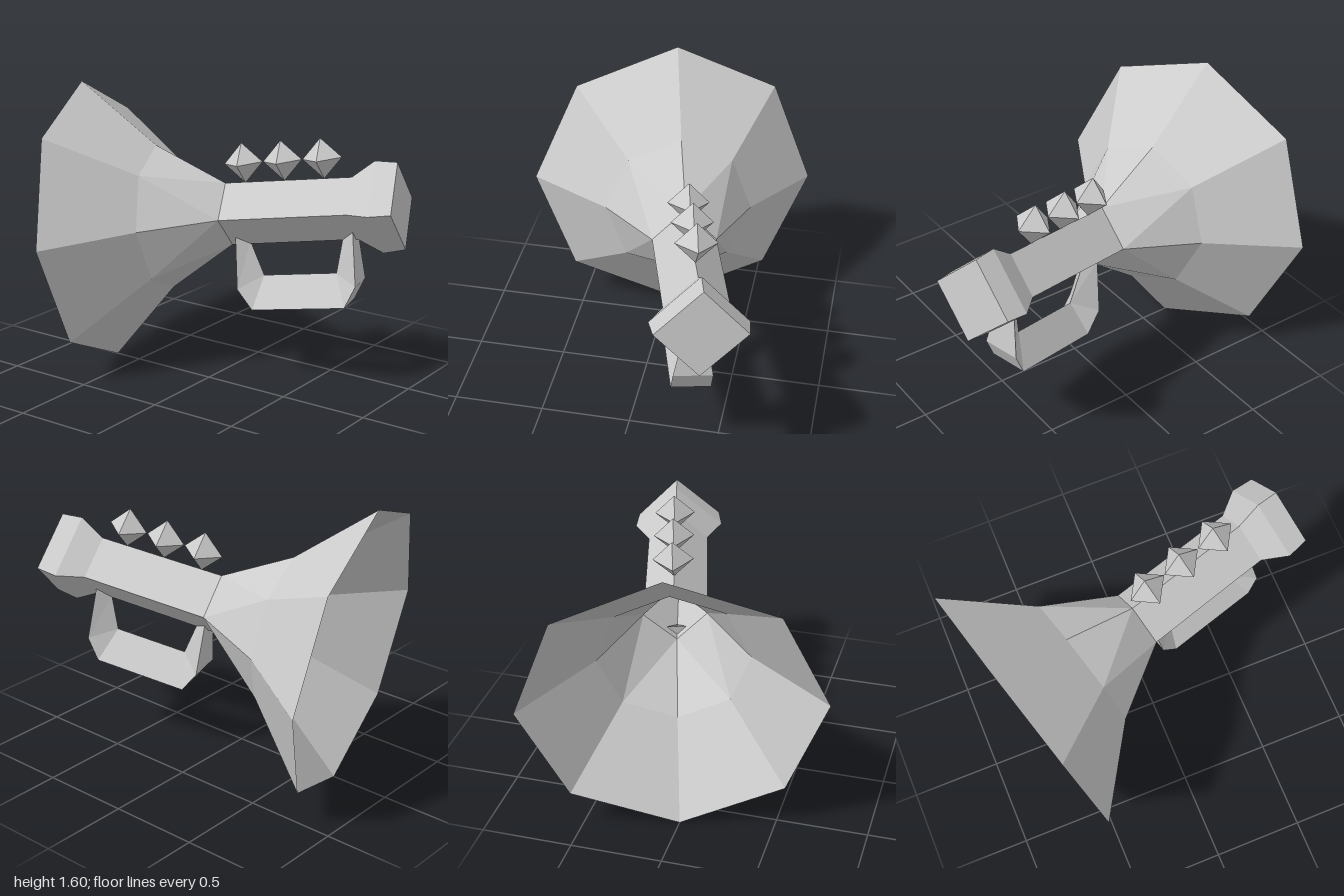
import * as THREE from 'three';

// Join cross-sections (counter-clockwise seen from +x) with flat faces.
// alternate: flip the diagonal of every even side; capEnd: close the last ring.
function loft(rings, { alternate = false, capEnd = false } = {}) {
  const pos = [];
  const tri = (a, b, c) => {
    const area = b.clone().sub(a).cross(c.clone().sub(a)).length();
    if (area > 1e-7) for (const p of [a, b, c]) pos.push(p.x, p.y, p.z);
  };
  const n = rings[0].length;
  for (let i = 0; i < rings.length - 1; i++) {
    for (let j = 0; j < n; j++) {
      const k = (j + 1) % n;
      const a = rings[i][j], b = rings[i][k], c = rings[i + 1][k], d = rings[i + 1][j];
      if (alternate && j % 2 === 0) { tri(a, b, d); tri(b, c, d); }
      else { tri(a, b, c); tri(a, c, d); }
    }
  }
  if (capEnd) {
    const r = rings[rings.length - 1];
    for (let j = 1; j < n - 1; j++) tri(r[0], r[j], r[j + 1]);
  }
  const geo = new THREE.BufferGeometry();
  geo.setAttribute('position', new THREE.Float32BufferAttribute(pos, 3));
  geo.computeVertexNormals();
  return geo;
}

// Regular ring around the x axis; diag scales the odd corners.
function ring(x, r, sides, diag = 1) {
  return Array.from({ length: sides }, (_, j) => {
    const t = (j / sides) * Math.PI * 2, s = j % 2 ? r * diag : r;
    return new THREE.Vector3(x, s * Math.cos(t), s * Math.sin(t));
  });
}

export function createModel() {
  const metal = new THREE.MeshStandardMaterial({ color: 0xcccccc, flatShading: true, side: THREE.DoubleSide });
  metal.name = 'pale grey metal';

  const model = new THREE.Group();
  model.name = 'horn';
  const body = new THREE.Group();
  body.name = 'hornBody';
  model.add(body);
  const add = (name, geo) => {
    const mesh = new THREE.Mesh(geo, metal);
    mesh.name = name;
    body.add(mesh);
    return mesh;
  };

  // Open eight-sided bell, narrowing to a square neck
  add('bell', loft([
    ring(0, 0.807, 8),
    ring(0.41, 0.412, 8),
    ring(0.8, 0.176, 8, Math.SQRT1_2),
  ], { alternate: true }));

  // Square tube and flared mouthpiece
  add('tube', loft([ring(0.8, 0.176, 4), ring(1.53, 0.172, 4)]));
  add('mouthpiece', loft([
    ring(1.53, 0.172, 4),
    ring(1.667, 0.254, 4),
    ring(1.79, 0.239, 4),
  ], { capEnd: true }));

  // Three diamond valves floating above the tube
  for (let i = 0; i < 3; i++) {
    const valve = add('valve' + (i + 1), new THREE.OctahedronGeometry(0.112));
    valve.position.set(0.92 + i * 0.2275, 0.284, 0);
  }

  // Hand grip: triangular section [outer x, outer y, half width, inner x, inner y]
  const grip = [
    [0.843, -0.12, 0.05, 0.91, -0.16],
    [0.838, -0.41, 0.105, 0.969, -0.357],
    [0.912, -0.53, 0.107, 0.969, -0.357],
    [1.446, -0.53, 0.107, 1.39, -0.357],
    [1.52, -0.413, 0.105, 1.39, -0.357],
    [1.52, -0.12, 0.05, 1.447, -0.16],
  ];
  add('handGrip', loft(grip.map(([ox, oy, w, ix, iy]) => [
    new THREE.Vector3(ix, iy, 0),
    new THREE.Vector3(ox, oy, w),
    new THREE.Vector3(ox, oy, -w),
  ])));

  // Tilt the horn: x runs from the bell to the mouthpiece
  const up = new THREE.Vector3(-0.142, 0.99, 0).normalize();
  const side = new THREE.Vector3(0.254, 0.037, 0.967);
  const axis = up.clone().cross(side).normalize();
  side.crossVectors(axis, up);
  body.quaternion.setFromRotationMatrix(new THREE.Matrix4().makeBasis(axis, up, side));
  body.position.set(-0.775, 0.8, 0);
  return model;
}
